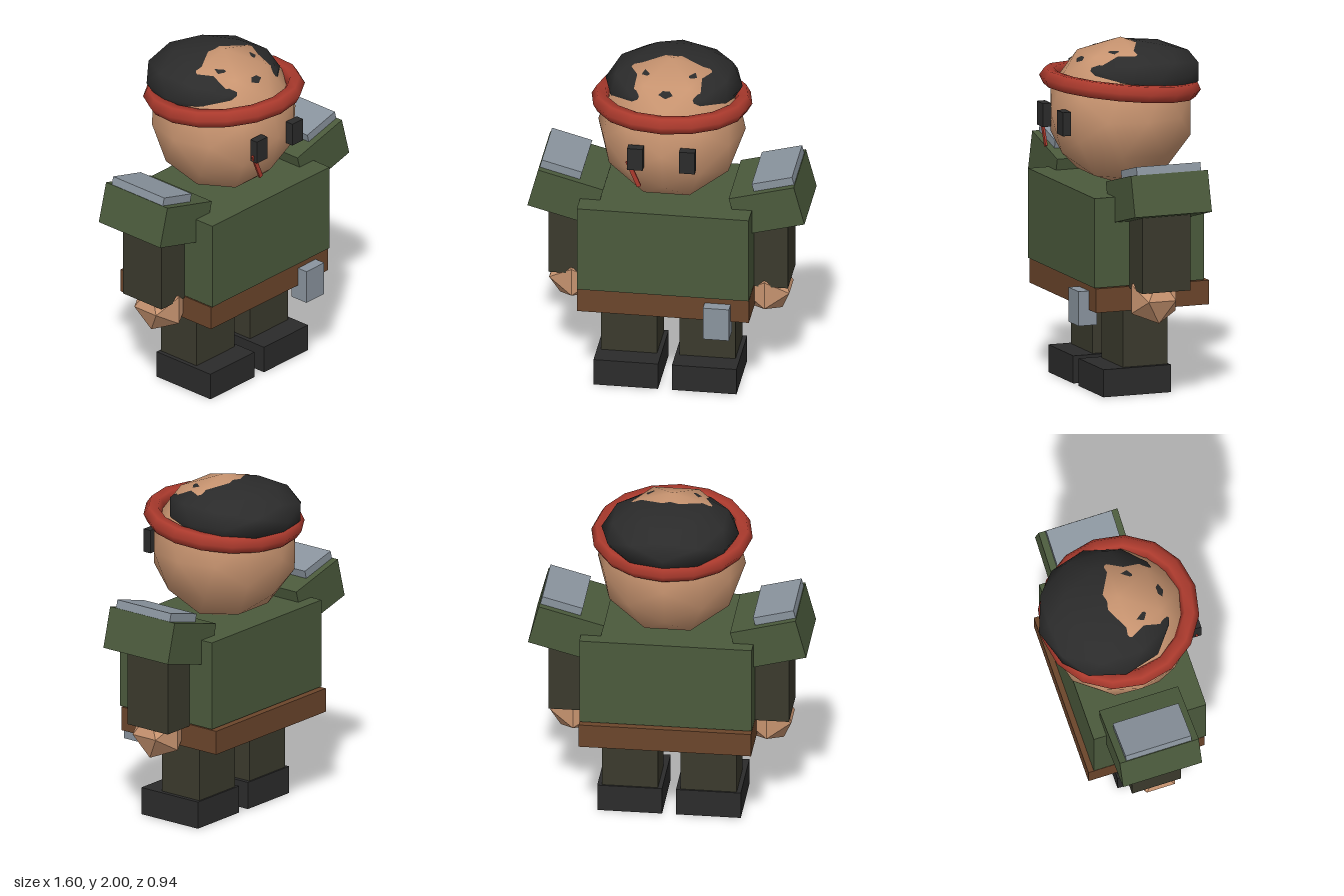
import * as THREE from 'three';

const mat = (name, color) => {
  const m = new THREE.MeshStandardMaterial({ color });
  m.name = name;
  return m;
};

export function createModel() {
  const model = new THREE.Group();
  model.name = 'soldierFigure';

  const skin = mat('skin', 0xc89470);
  const green = mat('jacketGreen', 0x4b5a3c);
  const olive = mat('darkOlive', 0x3b3a2d);
  const black = mat('black', 0x2b2b2b);
  const brown = mat('leatherBrown', 0x6b452b);
  const red = mat('bandRed', 0xab3a2d);
  const grey = mat('metalGrey', 0x8a949e);

  const add = (name, geometry, material, x, y, z, parent = model) => {
    const mesh = new THREE.Mesh(geometry, material);
    mesh.name = name;
    mesh.position.set(x, y, z);
    parent.add(mesh);
    return mesh;
  };

  // Box given by its limits on each axis
  const box = (name, material, [x0, x1], [y0, y1], [z0, z1], parent) =>
    add(name, new THREE.BoxGeometry(x1 - x0, y1 - y0, z1 - z0), material,
      (x0 + x1) / 2, (y0 + y1) / 2, (z0 + z1) / 2, parent);

  // Body
  box('torso', green, [-0.495, 0.495], [0.655, 1.175], [-0.31, 0.365]);
  box('belt', brown, [-0.495, 0.495], [0.51, 0.65], [-0.342, 0.355]);
  box('beltPouch', grey, [0.24, 0.39], [0.42, 0.62], [0.305, 0.42]);

  // Limbs, shoulder armour and eyes on both sides
  for (const s of [1, -1]) {
    const side = s > 0 ? 'left' : 'right';
    const span = (a, b) => (s > 0 ? [a, b] : [-b, -a]);

    box(side + 'Boot', black, span(0.04, 0.412), [0, 0.16], [-0.14, 0.275]);
    box(side + 'Leg', olive, span(0.065, 0.387), [0.16, 0.6], [-0.13, 0.145]);
    box(side + 'Arm', olive, span(0.41, 0.69), [0.64, 1.2], [-0.145, 0.15]);
    add(side + 'Hand', new THREE.IcosahedronGeometry(0.16, 0), skin, s * 0.556, 0.587, 0.027);

    // Shoulder pad tilted up on its outer side, with a plate on top
    const shoulder = new THREE.Group();
    shoulder.name = side + 'Shoulder';
    shoulder.position.set(s * 0.58, 1.175, 0.003);
    shoulder.rotation.z = s * 0.26;
    model.add(shoulder);
    box(side + 'ShoulderPad', green, [-0.194, 0.194], [-0.12, 0.12], [-0.237, 0.237], shoulder);
    box(side + 'ShoulderPlate', grey, span(-0.05, 0.19), [0.11, 0.168], [-0.197, 0.197], shoulder);

    box(side + 'Eye', black, span(0.105, 0.195), [1.488, 1.625], [0.385, 0.435]);
  }

  // Head and hair cap
  add('head', new THREE.IcosahedronGeometry(0.425, 1), skin, 0, 1.575, 0);
  add('hair', new THREE.IcosahedronGeometry(0.395, 1), black, 0, 1.803, -0.08).scale.y = 0.44;

  // Headband, raised at the front
  add('headband', new THREE.TorusGeometry(0.41, 0.053, 6, 16), red, 0, 1.738, 0.003)
    .rotation.x = Math.PI / 2 - 0.1;

  // Scar running down below the right eye
  add('scar', new THREE.BoxGeometry(0.025, 0.17, 0.012), red, -0.163, 1.45, 0.406).rotation.z = 0.4;

  return model;
}
